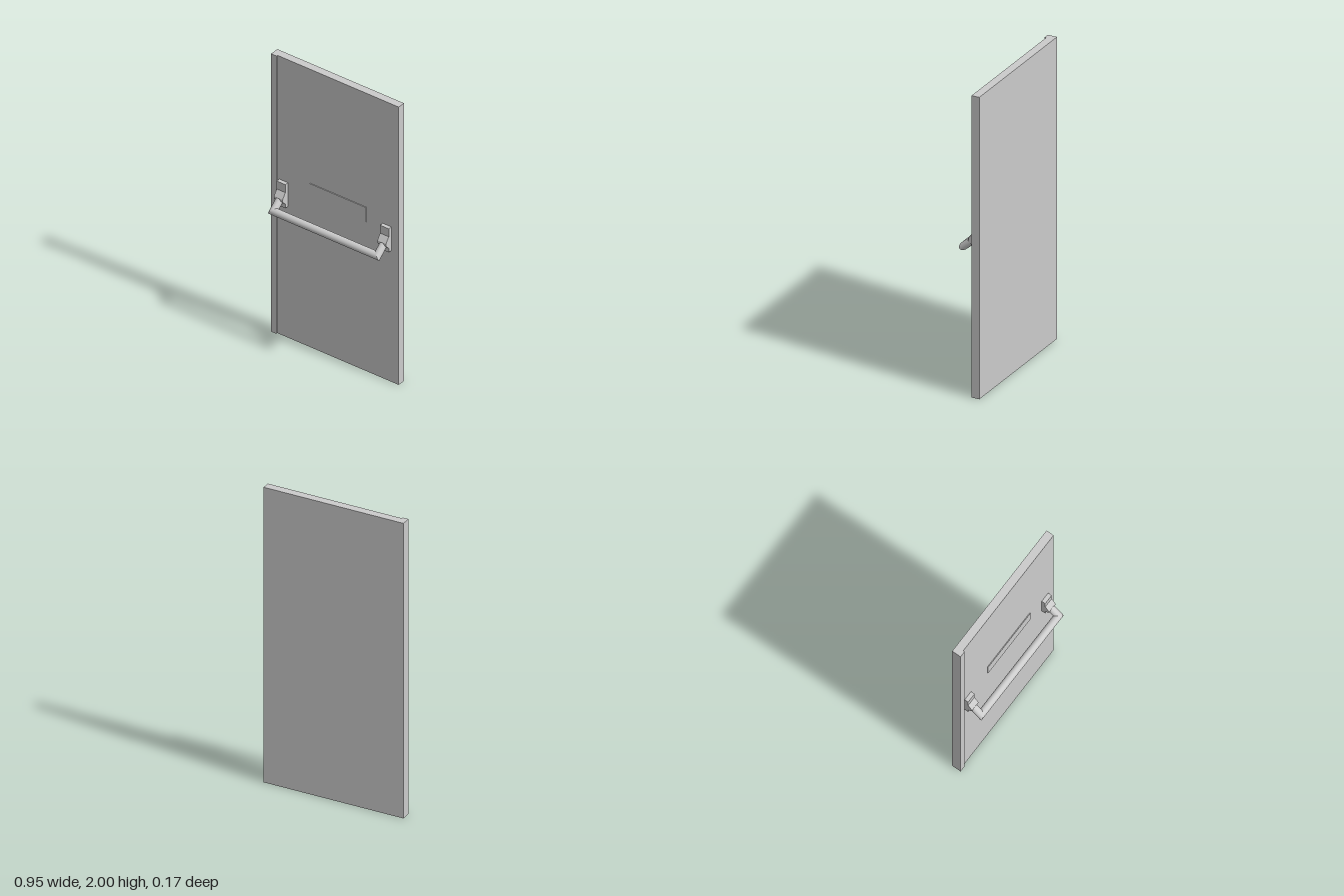
import * as THREE from 'three';

const material = new THREE.MeshStandardMaterial({ color: 0xcccccc });

// Box given by its extents on each axis
function block(name, [x0, x1], [y0, y1], [z0, z1]) {
  const mesh = new THREE.Mesh(new THREE.BoxGeometry(x1 - x0, y1 - y0, z1 - z0), material);
  mesh.name = name;
  mesh.position.set((x0 + x1) / 2, (y0 + y1) / 2, (z0 + z1) / 2);
  return mesh;
}

// Wall bracket: side profile (z, y) extruded across x
function bracket(name, x) {
  const profile = [
    [-0.037, 0.945], [-0.01, 0.945], [-0.01, 0.975], [0.018, 1.002], [0.017, 1.02],
    [0.003, 1.04], [-0.01, 1.058], [-0.01, 1.115], [-0.037, 1.115],
  ].map(([z, y]) => new THREE.Vector2(z, y));
  const width = 0.065;
  const geometry = new THREE.ExtrudeGeometry(new THREE.Shape(profile), { depth: width, bevelEnabled: false });
  geometry.translate(0, 0, -width / 2).rotateY(-Math.PI / 2);
  const mesh = new THREE.Mesh(geometry, material);
  mesh.name = name;
  mesh.position.x = x;
  return mesh;
}

// Round tube between two rings of points
function tubeSection(name, ringA, ringB, sides = 32) {
  const positions = [], index = [];
  for (let i = 0; i < sides; i++) {
    const angle = (i / sides) * Math.PI * 2;
    positions.push(...ringA(angle).toArray(), ...ringB(angle).toArray());
    const a = 2 * i, b = 2 * ((i + 1) % sides);
    index.push(a, b, a + 1, b, b + 1, a + 1);
  }
  const geometry = new THREE.BufferGeometry();
  geometry.setAttribute('position', new THREE.Float32BufferAttribute(positions, 3));
  geometry.setIndex(index);
  geometry.computeVertexNormals();
  const mesh = new THREE.Mesh(geometry, material.clone());
  mesh.material.side = THREE.DoubleSide;
  mesh.name = name;
  return mesh;
}

// Push bar with two arms, mitred at the corners
function pushBar() {
  const group = new THREE.Group();
  group.name = 'pushBar';
  const reach = 0.39, radius = 0.0245;
  const hub = new THREE.Vector3(0, 1.0, 0), grip = new THREE.Vector3(0, 0.948, 0.062);
  const along = grip.clone().sub(hub).normalize();
  const across = new THREE.Vector3(0, along.z, -along.y);
  const ring = (side, centre, mitre) => (angle) => {
    const c = radius * Math.cos(angle), s = radius * Math.sin(angle);
    const p = centre.clone().addScaledVector(across, c).addScaledVector(along, mitre * s);
    p.x = side * (reach + s);
    return p;
  };
  group.add(
    tubeSection('rightArm', ring(-1, grip, 1), ring(-1, hub, 0)),
    tubeSection('grip', ring(1, grip, 1), ring(-1, grip, 1)),
    tubeSection('leftArm', ring(1, hub, 0), ring(1, grip, 1)),
  );
  return group;
}

export function createModel() {
  const model = new THREE.Group();
  model.name = 'pushBarDoor';
  model.add(
    block('doorLeaf', [-0.475, 0.475], [0, 2], [-0.088, -0.036]),
    block('edgeStrip', [-0.475, -0.435], [0, 2], [-0.037, -0.026]),
    block('signPlate', [-0.19, 0.235], [1.075, 1.18], [-0.037, -0.031]),
    bracket('rightBracket', -0.388),
    bracket('leftBracket', 0.388),
    pushBar(),
  );
  return model;
}
